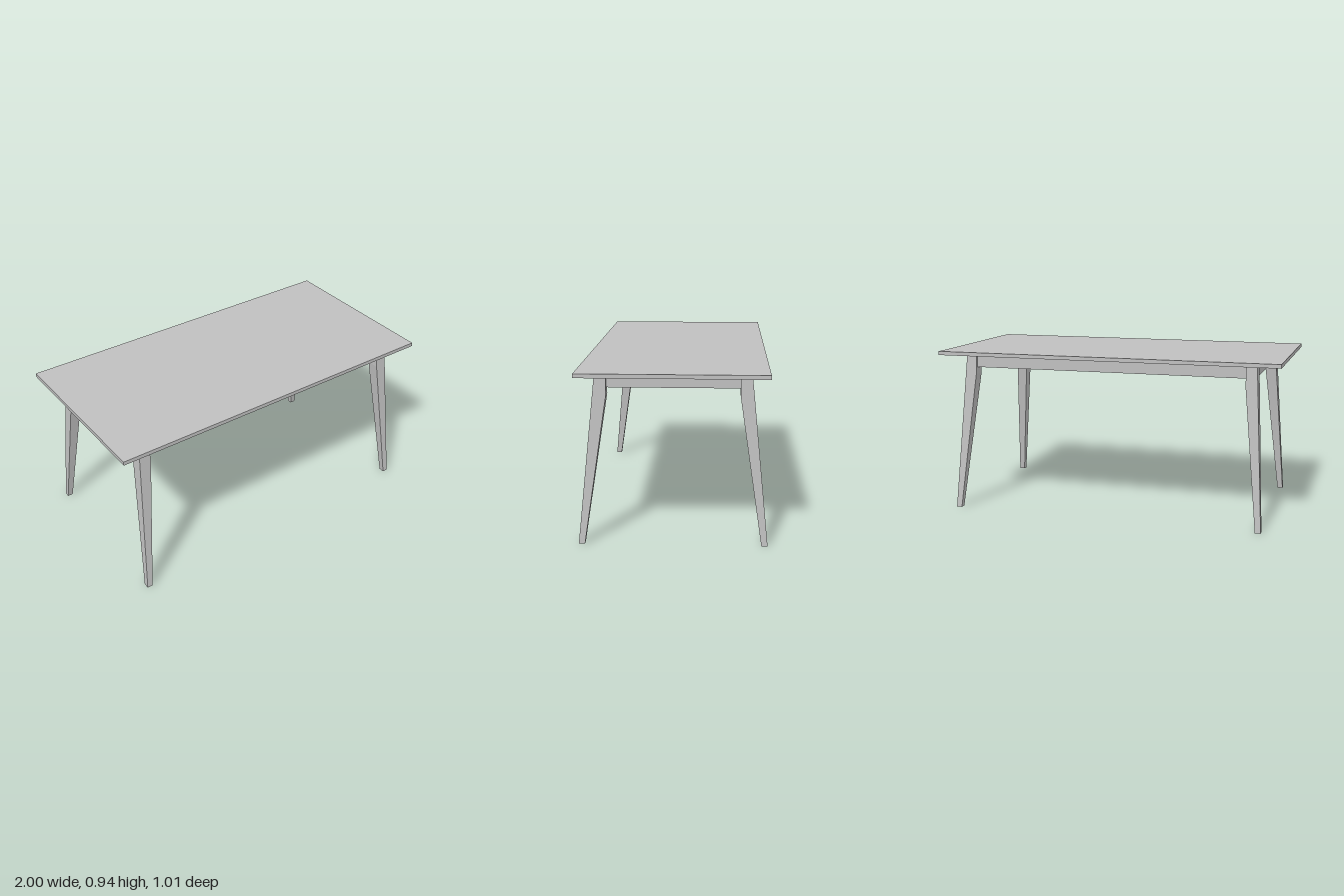
import * as THREE from 'three';

const TOP_UNDERSIDE = 0.916;

// Leg cross-sections: height, inner x, outer x, inner z, outer z
const LEG_SECTIONS = [
  [0, 0.885, 0.917, 0.47, 0.503],
  [0.8, 0.8, 0.867, 0.35, 0.422],
  [TOP_UNDERSIDE, 0.8, 0.86, 0.35, 0.41],
];

// Four-sided loft through the sections, placed in the quadrant (sx, sz)
function legGeometry(sx, sz) {
  const rings = LEG_SECTIONS.map(([y, xi, xo, zi, zo]) => {
    const [x0, x1] = [sx * xi, sx * xo].sort((a, b) => a - b);
    const [z0, z1] = [sz * zi, sz * zo].sort((a, b) => a - b);
    return [[x0, y, z1], [x1, y, z1], [x1, y, z0], [x0, y, z0]];
  });
  const points = [];
  const quad = (a, b, c, d) => points.push(...a, ...b, ...c, ...a, ...c, ...d);
  for (let i = 0; i < rings.length - 1; i++) {
    for (let k = 0; k < 4; k++) {
      const n = (k + 1) % 4;
      quad(rings[i][k], rings[i][n], rings[i + 1][n], rings[i + 1][k]);
    }
  }
  const foot = rings[0];
  const head = rings[rings.length - 1];
  quad(foot[3], foot[2], foot[1], foot[0]);
  quad(head[0], head[1], head[2], head[3]);
  const geometry = new THREE.BufferGeometry();
  geometry.setAttribute('position', new THREE.Float32BufferAttribute(points, 3));
  geometry.computeVertexNormals();
  return geometry;
}

export function createModel() {
  const table = new THREE.Group();
  table.name = 'table';
  const grey = new THREE.MeshStandardMaterial({ color: 0xc0c0c0 });
  grey.name = 'light grey';

  const add = (name, geometry, y = 0) => {
    const mesh = new THREE.Mesh(geometry, grey);
    mesh.name = name;
    mesh.position.y = y;
    table.add(mesh);
  };

  // Thin rectangular top
  add('tableTop', new THREE.BoxGeometry(2, 0.022, 1), TOP_UNDERSIDE + 0.011);

  // Closed apron block under the top, its corners buried in the legs
  const apronHeight = 0.076;
  add('apron', new THREE.BoxGeometry(1.7, apronHeight, 0.8), TOP_UNDERSIDE - apronHeight / 2);

  // Splayed, tapered legs
  for (const sx of [1, -1]) {
    for (const sz of [1, -1]) {
      add(`${sz > 0 ? 'front' : 'back'}${sx > 0 ? 'Left' : 'Right'}Leg`, legGeometry(sx, sz));
    }
  }
  return table;
}
